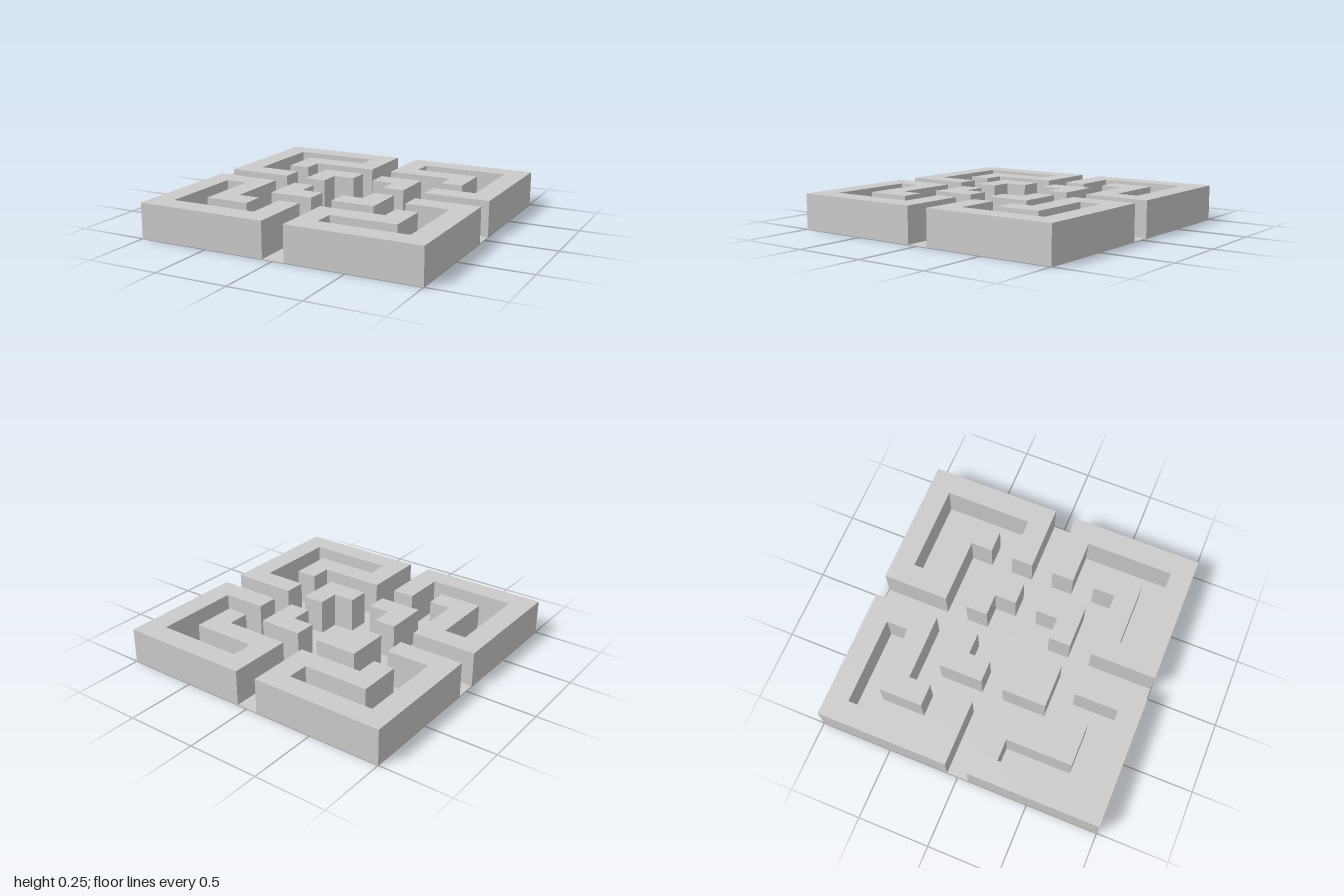
import * as THREE from 'three';
import { mergeGeometries } from 'three/addons/utils/BufferGeometryUtils.js';

const N = 13;             // cells per side
const C = 2 / N;          // cell size
const H = C * 1.6;        // wall height
const MID = 6;            // index of the open cross lanes

// One quadrant of the maze, from the outer corner inwards (# is wall)
const QUADRANT = [
  '######',
  '#....#',
  '#.####',
  '#.#...',
  '#...##',
  '###.#.',
];

// Mirrored into all four quadrants; the front-right one (-x, +z) is also transposed
function isWall(col, row) {
  if (col === MID || row === MID) return false;
  const c = Math.min(col, N - 1 - col);
  const r = Math.min(row, N - 1 - row);
  const transposed = col < MID && row > MID;
  return (transposed ? QUADRANT[c][r] : QUADRANT[r][c]) === '#';
}

const centre = (i) => -1 + (i + 0.5) * C;

// Flat square facing up
function tile(x, y, z) {
  return new THREE.PlaneGeometry(C, C).rotateX(-Math.PI / 2).translate(x, y, z);
}

// Hollow block, open at the bottom: a top and four sides
function block(x, z) {
  const faces = [tile(x, H, z)];
  for (let k = 0; k < 4; k++) {
    faces.push(new THREE.PlaneGeometry(C, H)
      .translate(0, H / 2, C / 2)
      .rotateY(k * Math.PI / 2)
      .translate(x, 0, z));
  }
  return faces;
}

export function createModel() {
  const model = new THREE.Group();
  model.name = 'maze';
  const material = new THREE.MeshStandardMaterial({
    color: 0xcccccc, side: THREE.DoubleSide, flatShading: true,
  });

  // Sort every cell into a wall quadrant or the path floor
  const parts = {
    backRightWalls: [], backLeftWalls: [],
    frontRightWalls: [], frontLeftWalls: [], pathFloor: [],
  };
  for (let row = 0; row < N; row++) {
    for (let col = 0; col < N; col++) {
      const x = centre(col), z = centre(row);
      if (isWall(col, row)) {
        const name = (row < MID ? 'back' : 'front') + (col < MID ? 'Right' : 'Left') + 'Walls';
        parts[name].push(...block(x, z));
      } else {
        parts.pathFloor.push(tile(x, 0, z));
      }
    }
  }

  for (const [name, faces] of Object.entries(parts)) {
    const mesh = new THREE.Mesh(mergeGeometries(faces), material);
    mesh.name = name;
    model.add(mesh);
  }
  return model;
}
